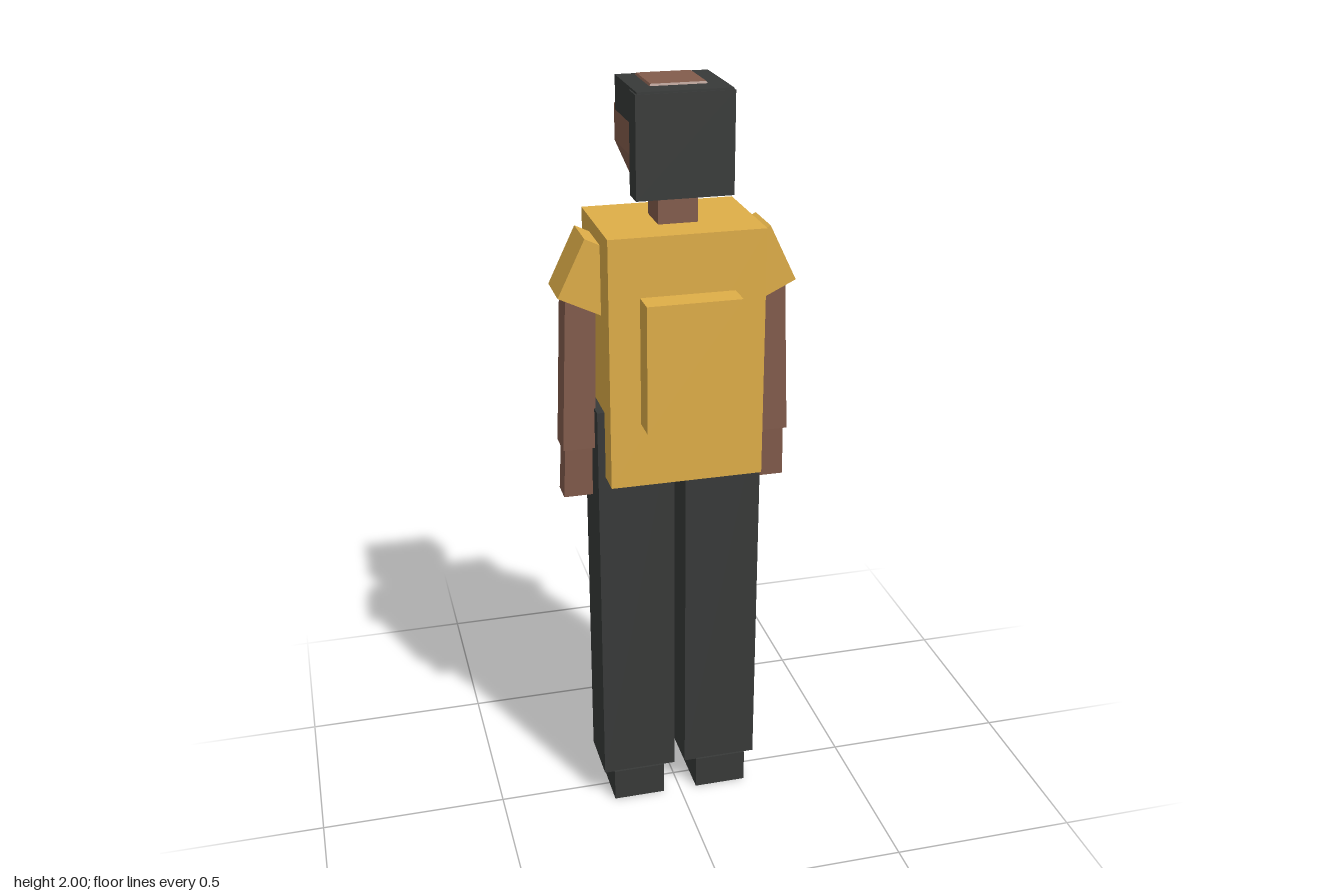
import * as THREE from 'three';

const material = (color) => new THREE.MeshStandardMaterial({ color, flatShading: true });

// Solid through rectangular cross-sections [y, x0, x1, z0, z1], bottom to top
function loft(sections) {
  const rings = sections.map(([y, x0, x1, z0, z1]) =>
    [[x0, y, z0], [x1, y, z0], [x1, y, z1], [x0, y, z1]]);
  const pos = [];
  const tri = (...points) => points.forEach((p) => pos.push(...p));
  for (let k = 0; k < rings.length - 1; k++) {
    for (let i = 0; i < 4; i++) {
      const j = (i + 1) % 4, lo = rings[k], hi = rings[k + 1];
      tri(lo[i], hi[i], hi[j]);
      tri(lo[i], hi[j], lo[j]);
    }
  }
  const b = rings[0], t = rings[rings.length - 1];
  tri(t[0], t[2], t[1]);
  tri(t[0], t[3], t[2]);
  tri(b[0], b[1], b[2]);
  tri(b[0], b[2], b[3]);
  const g = new THREE.BufferGeometry();
  g.setAttribute('position', new THREE.Float32BufferAttribute(pos, 3));
  g.computeVertexNormals();
  return g;
}

export function createModel() {
  const root = new THREE.Group();
  root.name = 'figure';
  const skin = material(0x835c4c);
  const yellow = material(0xdfae48);
  const dark = material(0x383a39);

  const add = (name, geometry, mat) => {
    const mesh = new THREE.Mesh(geometry, mat);
    mesh.name = name;
    root.add(mesh);
    return mesh;
  };
  // Box given by its limits on each axis
  const box = (name, mat, x0, x1, y0, y1, z0, z1) => {
    const mesh = add(name, new THREE.BoxGeometry(x1 - x0, y1 - y0, z1 - z0), mat);
    mesh.position.set((x0 + x1) / 2, (y0 + y1) / 2, (z0 + z1) / 2);
    return mesh;
  };

  // Body
  box('torso', yellow, -0.198, 0.198, 1.01, 1.66, -0.16, 0.142);
  box('backpack', yellow, -0.12, 0.12, 1.18, 1.51, 0.13, 0.211);
  box('neck', skin, -0.05, 0.05, 1.62, 1.78, -0.055, 0.045);

  // Head tapers to the crown and the chin
  add('head', loft([
    [1.74, -0.08, 0.08, -0.095, 0.06],
    [1.83, -0.114, 0.114, -0.14, 0.09],
    [1.92, -0.114, 0.114, -0.14, 0.09],
    [2.0, -0.068, 0.068, -0.095, 0.048],
  ]), skin);
  box('nose', skin, -0.015, 0.015, 1.825, 1.877, -0.161, -0.13);
  box('glasses', dark, -0.105, 0.105, 1.885, 1.917, -0.163, -0.13);

  // Hair
  box('hairCap', dark, -0.117, 0.117, 1.91, 1.995, -0.114, 0.113);
  box('hairBack', dark, -0.121, 0.121, 1.74, 1.99, 0.052, 0.116);

  // Limbs on both sides
  for (const s of [1, -1]) {
    const side = s > 0 ? 'left' : 'right';
    const span = (a, b) => (s > 0 ? [a, b] : [-b, -a]);

    box(side + 'Leg', dark, ...span(0.015, 0.217), 0.09, 1.19, -0.086, 0.071);
    box(side + 'Shoe', dark, ...span(0.047, 0.19), 0, 0.092, -0.213, 0.077);

    const sleeve = add(side + 'Sleeve', new THREE.BoxGeometry(0.13, 0.161, 0.124), yellow);
    sleeve.position.set(s * 0.2115, 1.539, -0.008);
    sleeve.rotation.z = s * 0.45;

    add(side + 'Arm', loft([
      [1.08, ...span(0.216, 0.3), -0.043, 0.036],
      [1.5, ...span(0.207, 0.283), -0.043, 0.036],
    ]), skin);
    add(side + 'Hand', loft([
      [0.94, ...span(0.222, 0.298), -0.046, 0.018],
      [1.1, ...span(0.222, 0.292), -0.034, 0.026],
    ]), skin);
  }
  return root;
}
